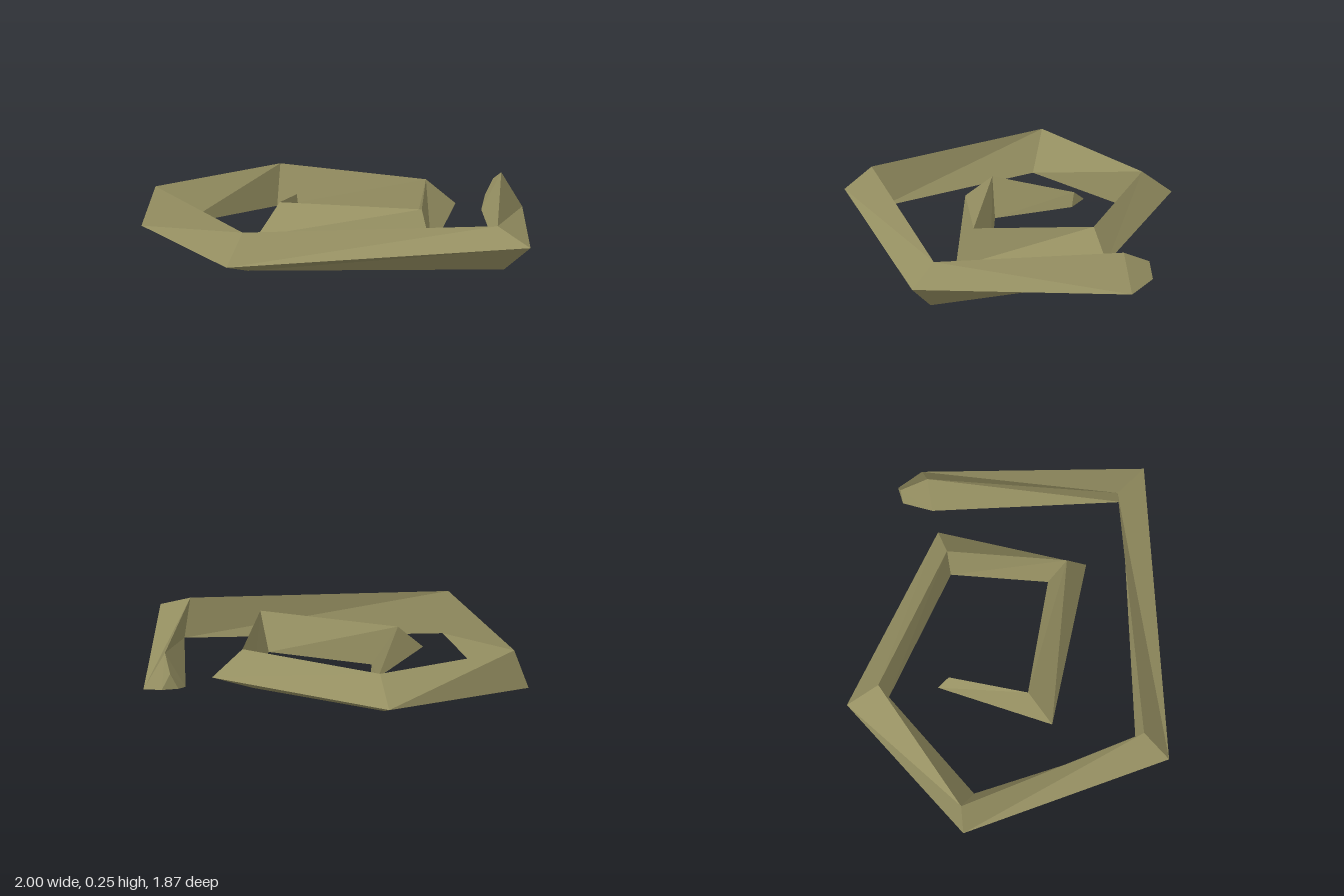
import * as THREE from 'three';

// Three-sided cross-sections along the spiral, from outer end to inner end.
// Each one lists its outer, top and inner corner as [x, y, z].
const sections = [
  [[0.93, 0.10, -0.33], [0.885, 0.185, -0.33], [0.84, 0.10, -0.33]],
  [[0.995, 0.06, -0.18], [0.88, 0.255, -0.185], [0.77, 0.06, -0.19]],
  [[0.65, 0.145, 0.935], [0.53, 0.23, 0.755], [0.555, 0, 0.785]],
  [[-0.93, 0.095, 0.605], [-0.805, 0.25, 0.505], [-0.765, 0.03, 0.47]],
  [[-1, 0.04, -0.545], [-0.925, 0.25, -0.535], [-0.81, 0.06, -0.43]],
  [[-0.16, 0.105, -0.935], [-0.15, 0.25, -0.76], [-0.18, 0.03, -0.725]],
  [[0.63, 0.105, -0.2], [0.465, 0.25, -0.2], [0.41, 0.03, -0.195]],
  [[0.25, 0.06, 0.5], [0.235, 0.255, 0.39], [0.215, 0.06, 0.28]],
  [[-0.57, 0.10, 0.07], [-0.415, 0.25, -0.015], [-0.37, 0.03, -0.01]],
  [[-0.21, 0.125, -0.45], [-0.19, 0.18, -0.385], [-0.185, 0.10, -0.37]],
];

// Skins neighbouring cross-sections and caps both ends.
function loft(rings) {
  const positions = [];
  const tri = (...corners) => corners.forEach((p) => positions.push(...p));
  for (let i = 0; i < rings.length - 1; i++) {
    for (let j = 0; j < 3; j++) {
      const k = (j + 1) % 3;
      const a = rings[i][j], b = rings[i][k], c = rings[i + 1][k], d = rings[i + 1][j];
      if (i < 2) {
        // the first bend folds along the other diagonal
        tri(a, b, c);
        tri(a, c, d);
      } else {
        tri(a, b, d);
        tri(b, c, d);
      }
    }
  }
  const [s0, s1, s2] = rings[0];
  tri(s2, s1, s0);
  tri(...rings[rings.length - 1]);
  const geometry = new THREE.BufferGeometry();
  geometry.setAttribute('position', new THREE.Float32BufferAttribute(positions, 3));
  geometry.computeVertexNormals();
  return geometry;
}

export function createModel() {
  const group = new THREE.Group();
  group.name = 'spiralCoil';
  const material = new THREE.MeshStandardMaterial({ color: 0x969062, flatShading: true });
  const coil = new THREE.Mesh(loft(sections), material);
  coil.name = 'coiledStrand';
  group.add(coil);
  return group;
}
